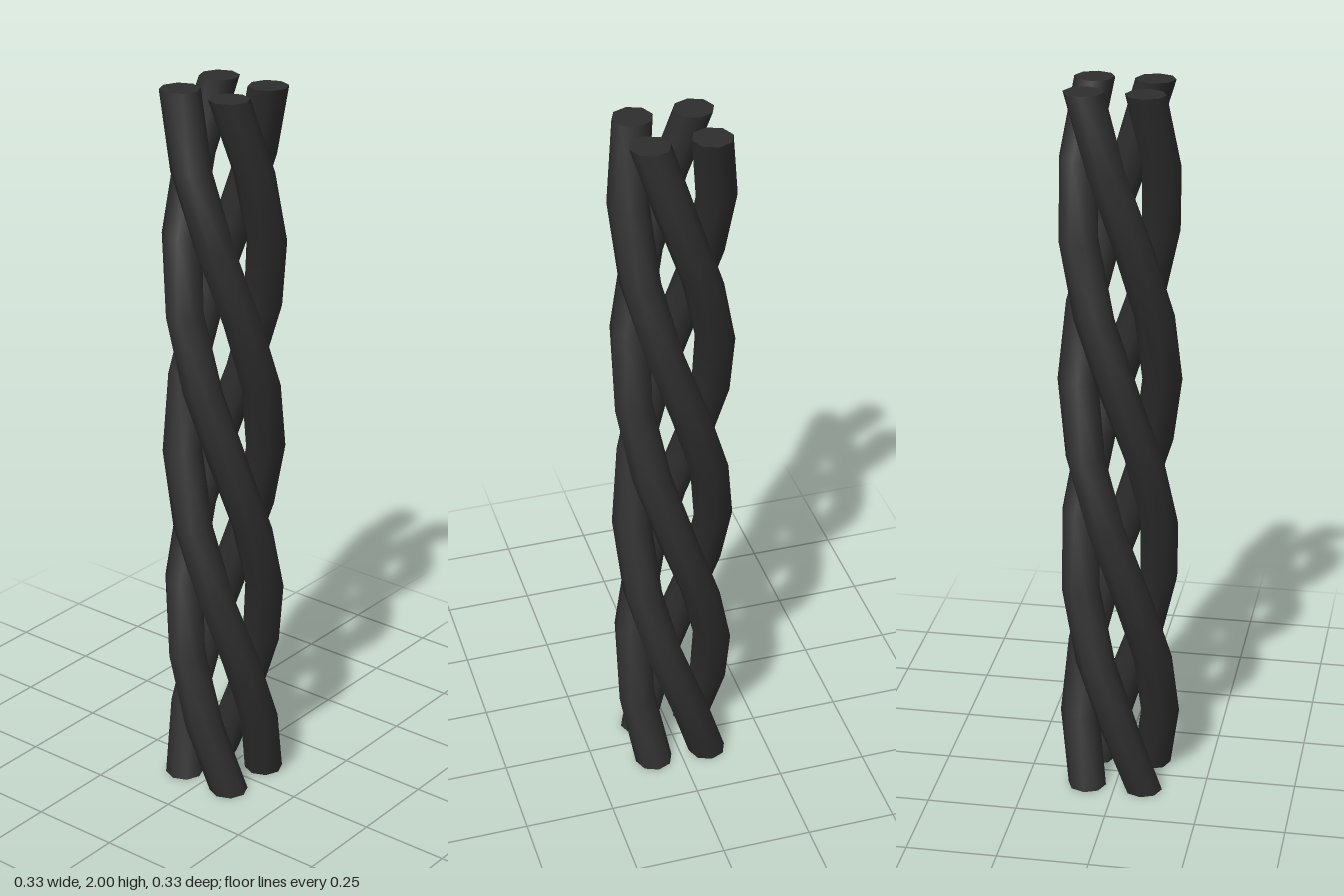
import * as THREE from 'three';

const STRANDS = 4, STEPS = 10, SIDES = 8;
const HEIGHT = 2, HELIX = 0.113, RADIUS = 0.0535;

// One strand: a horizontal octagon swept through a full turn, with flat end caps
function strandGeometry() {
  const pos = [], index = [];
  const ring = (i) => {
    const a = Math.PI / 4 + (i / STEPS) * Math.PI * 2;
    const start = pos.length / 3;
    for (let j = 0; j < SIDES; j++) {
      const b = (j / SIDES) * Math.PI * 2;
      const out = HELIX + RADIUS * Math.cos(b), side = RADIUS * Math.sin(b);
      pos.push(
        out * Math.cos(a) - side * Math.sin(a),
        (i / STEPS) * HEIGHT,
        out * Math.sin(a) + side * Math.cos(a));
    }
    return start;
  };

  // smooth side wall
  for (let i = 0; i <= STEPS; i++) {
    const s = ring(i);
    if (i === 0) continue;
    for (let j = 0; j < SIDES; j++) {
      const k = (j + 1) % SIDES, p = s - SIDES;
      index.push(p + j, s + j, p + k, s + j, s + k, p + k);
    }
  }

  // caps have their own vertices so their edges stay sharp
  const bottom = ring(0), top = ring(STEPS);
  for (let j = 1; j < SIDES - 1; j++) {
    index.push(bottom, bottom + j, bottom + j + 1);
    index.push(top, top + j + 1, top + j);
  }

  const geo = new THREE.BufferGeometry();
  geo.setAttribute('position', new THREE.Float32BufferAttribute(pos, 3));
  geo.setIndex(index);
  geo.computeVertexNormals();
  return geo;
}

export function createModel() {
  const group = new THREE.Group();
  group.name = 'twistedColumn';
  const material = new THREE.MeshStandardMaterial({ color: 0x2e2e2e });
  material.name = 'charcoal';

  // four identical strands, a quarter turn apart
  const geometry = strandGeometry();
  for (let n = 0; n < STRANDS; n++) {
    const strand = new THREE.Mesh(geometry, material);
    strand.name = `strand${n + 1}`;
    strand.rotation.y = (n / STRANDS) * Math.PI * 2;
    group.add(strand);
  }
  return group;
}
